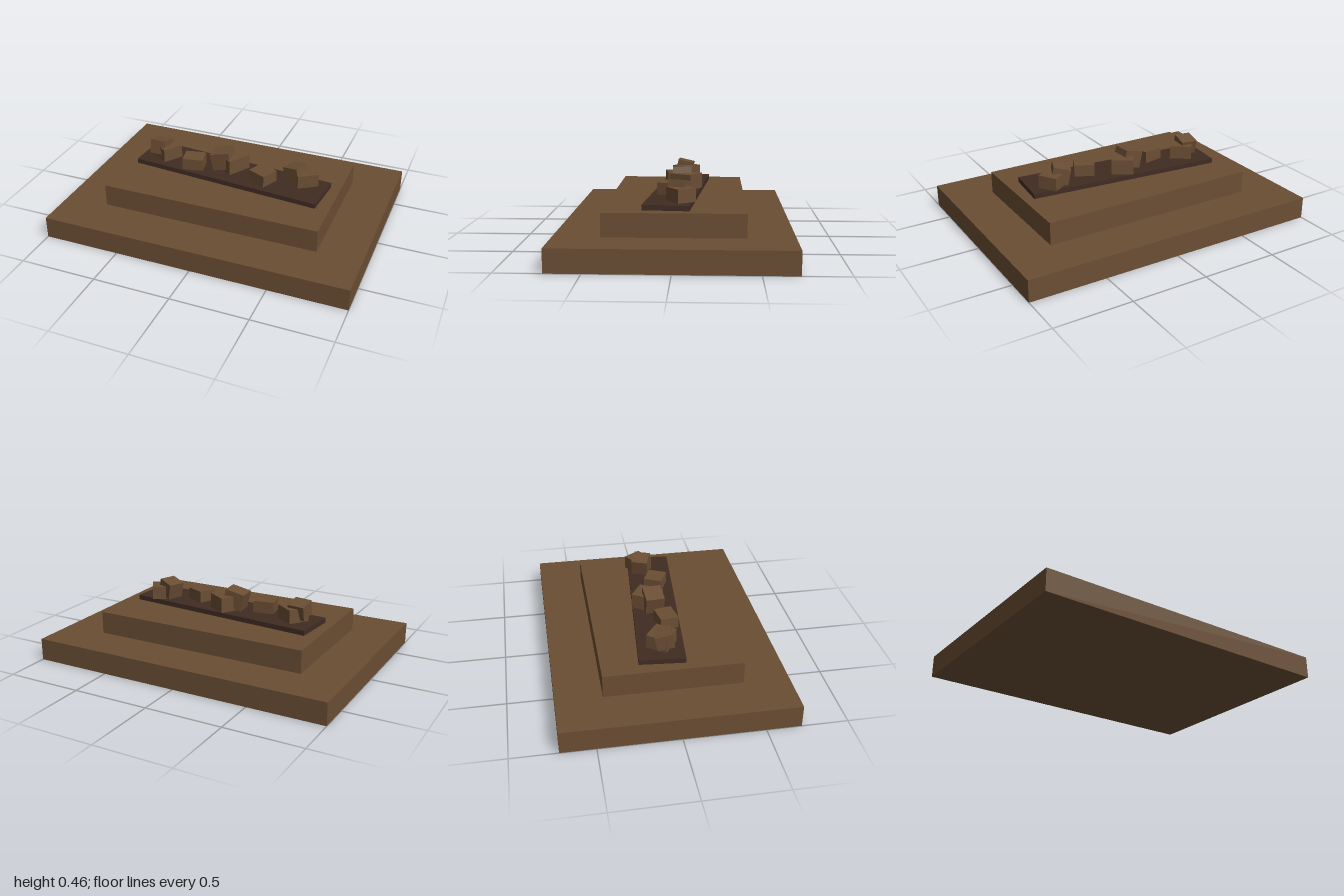
import * as THREE from 'three';

export function createModel() {
  const group = new THREE.Group();
  const earth = new THREE.MeshStandardMaterial({ color: 0x6b4e34 });
  earth.name = 'earth brown';
  const dark = new THREE.MeshStandardMaterial({ color: 0x402c23 });
  dark.name = 'dark brown';

  function box(name, material, size, position, rotation = [0, 0, 0]) {
    const mesh = new THREE.Mesh(new THREE.BoxGeometry(...size), material);
    mesh.name = name;
    mesh.position.set(...position);
    mesh.rotation.set(...rotation);
    group.add(mesh);
  }

  // Stepped base
  box('lowerStep', earth, [2, 0.143, 1.43], [0, 0.0715, 0]);
  box('upperStep', earth, [1.43, 0.146, 0.857], [0, 0.216, 0]);

  // Dark bed, turned slightly on the base
  const bedTop = 0.321;
  box('bed', dark, [1.285, 0.033, 0.286], [-0.002, bedTop - 0.0165, -0.003], [0, -0.086, 0]);

  // Clods resting flat: width, height, depth, x, z, turn
  [
    [0.143, 0.088, 0.137, -0.483, -0.038, -0.62],
    [0.136, 0.077, 0.115, -0.257, 0.031, 0.19],
    [0.143, 0.098, 0.162, -0.013, -0.048, -0.55],
    [0.13, 0.077, 0.121, 0.228, 0.043, -0.43],
    [0.137, 0.085, 0.126, 0.492, -0.034, 0.58],
  ].forEach(([w, h, d, x, z, turn], i) =>
    box(`restingClod${i + 1}`, earth, [w, h, d], [x, bedTop + h / 2, z], [0, turn, 0]));

  // Tilted clods leaning on the others
  box('tiltedClod1', earth, [0.11, 0.095, 0.108], [-0.524, 0.392, -0.028], [-0.22, -0.09, 0]);
  box('tiltedClod2', earth, [0.13, 0.115, 0.12], [-0.07, 0.392, -0.02], [0, 0.07, 0.22]);
  box('tiltedClod3', earth, [0.112, 0.105, 0.11], [0.433, 0.387, -0.021], [0, -0.38, 0.22]);

  return group;
}
